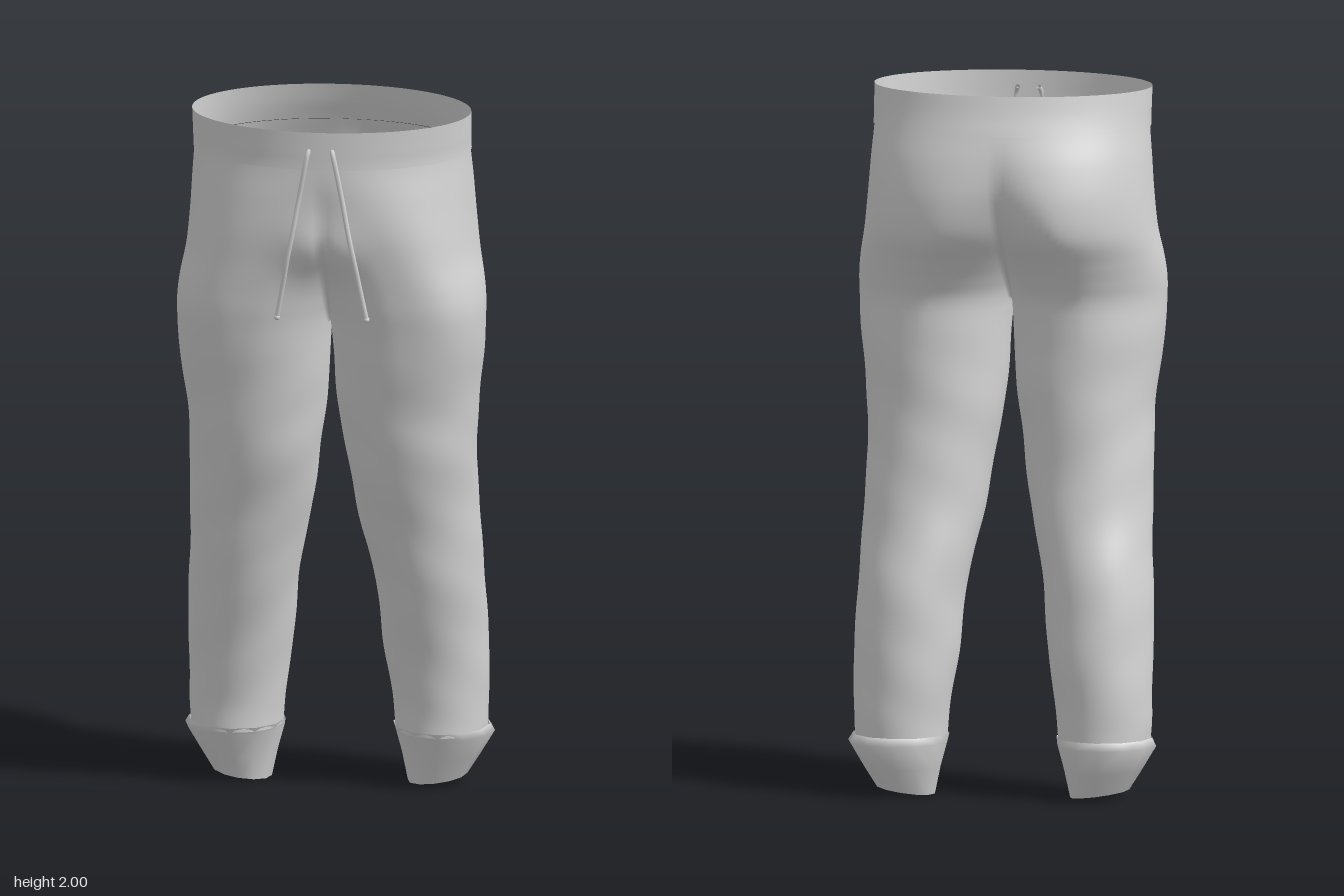
import * as THREE from 'three';
import { mergeVertices } from 'three/addons/utils/BufferGeometryUtils.js';

// Cross-sections of the left half: [y, inner x, outer x, front z, back z].
// A negative inner x means the section is cut open at the centre plane.
const BODY = [
  [2, -0.39, 0.392, 0.314, -0.23],
  [1.945, -0.388, 0.391, 0.312, -0.245],
  [1.89, -0.37, 0.391, 0.31, -0.264],
  [1.8, -0.255, 0.398, 0.308, -0.288],
  [1.7, -0.155, 0.405, 0.302, -0.3],
  [1.6, -0.085, 0.415, 0.289, -0.286],
  [1.52, -0.045, 0.43, 0.279, -0.235],
  [1.46, -0.02, 0.437, 0.272, -0.2],
  [1.4, -0.003, 0.437, 0.262, -0.178],
  [1.3, 0.006, 0.432, 0.245, -0.178],
  [1.15, 0.016, 0.413, 0.215, -0.182],
  [1.0, 0.037, 0.408, 0.187, -0.19],
  [0.8, 0.07, 0.41, 0.132, -0.22],
  [0.6, 0.11, 0.42, 0.084, -0.267],
  [0.4, 0.13, 0.425, 0.03, -0.285],
  [0.25, 0.152, 0.425, 0.003, -0.286],
  [0.16, 0.16, 0.42, 0, -0.285],
];
const CUFF = [
  [0.172, 0.153, 0.427, 0.006, -0.291],
  [0.15, 0.157, 0.44, -0.003, -0.308],
  [0.08, 0.176, 0.398, -0.035, -0.275],
  [0.012, 0.193, 0.362, -0.062, -0.24],
];

// Smoothly resample the rows of a section table
function resample(rows, steps) {
  const count = (rows.length - 1) * steps;
  const curves = [1, 2, 3, 4].map(
    (k) => new THREE.SplineCurve(rows.map((r) => new THREE.Vector2(r[0], r[k]))));
  return Array.from({ length: count + 1 }, (_, i) => {
    const pts = curves.map((c) => c.getPoint(i / count));
    return [pts[0].x, ...pts.map((p) => p.y)];
  });
}

// Loft the sections for the chosen sides; shape(p, angle, side, cx, cz) adjusts each point
function loft(rows, segments, sides, shape) {
  const pos = [];
  const index = [];
  const p = new THREE.Vector3();
  for (const s of sides) {
    const base = pos.length / 3;
    rows.forEach(([y, inner, outer, front, back], r) => {
      const cx = (inner + outer) / 2;
      const rx = (outer - inner) / 2;
      const cz = (front + back) / 2;
      const rz = (front - back) / 2;
      const end = inner < 0 ? Math.acos(THREE.MathUtils.clamp(-cx / rx, -1, 1)) : Math.PI;
      for (let i = 0; i <= segments; i++) {
        const a = end * (2 * i / segments - 1);
        p.set(cx + rx * Math.cos(a), y, cz + rz * Math.sin(a));
        shape(p, a, s, cx, cz);
        pos.push(s * p.x, p.y, p.z);
        if (r < rows.length - 1 && i < segments) {
          const q = base + r * (segments + 1) + i;
          const d = q + segments + 1;
          if (s > 0) index.push(q, q + 1, d, q + 1, d + 1, d);
          else index.push(q, d, q + 1, q + 1, d, d + 1);
        }
      }
    });
  }
  let geo = new THREE.BufferGeometry();
  geo.setAttribute('position', new THREE.Float32BufferAttribute(pos, 3));
  geo.setIndex(index);
  geo = mergeVertices(geo, 1e-4);
  geo.computeVertexNormals();
  return geo;
}

// Thighs full in front and flatter behind, a rounded fly and soft folds down the legs
function drape(p, a, s, cx, cz) {
  if (Math.cos(a) > 0) {
    const power = -0.24 * Math.sin(a) * Math.exp(-(((p.y - 1.5) / 0.24) ** 2));
    const fuller = (v) => Math.max(Math.abs(v), 1e-3) ** power;
    p.x = cx + (p.x - cx) * fuller(Math.cos(a));
    p.z = cz + (p.z - cz) * fuller(Math.sin(a));
  }
  if (p.z > 0) {
    p.z += 0.042 * Math.exp(-((p.x / 0.085) ** 2) - ((p.y - 1.64) / 0.09) ** 2);
  }
  const amount = THREE.MathUtils.smoothstep(1.45 - p.y, 0, 0.4)
    * THREE.MathUtils.smoothstep(p.y, 0.16, 0.25);
  const fold = 1 + 0.009 * amount
    * (Math.sin(p.y * 17 + 2 * a + s) + 0.6 * Math.sin(p.y * 31 - 3 * a - 2 * s));
  p.x = cx + (p.x - cx) * fold;
  p.z = cz + (p.z - cz) * fold;
}

export function createModel() {
  const group = new THREE.Group();
  const fabric = new THREE.MeshStandardMaterial({ color: 0xd4d4d4, side: THREE.DoubleSide });
  fabric.name = 'greyFabric';
  const add = (name, geo) => {
    const mesh = new THREE.Mesh(geo, fabric);
    mesh.name = name;
    group.add(mesh);
  };

  // The first sections form the waistband, which sits slightly proud of the body
  const rows = resample(BODY, 6);
  add('waistband', loft(rows.slice(0, 13), 48, [1, -1], (p) => {
    p.x *= 1.008;
    p.z *= 1.008;
  }));
  add('hipsAndLegs', loft(rows.slice(12), 48, [1, -1], drape));

  for (const s of [1, -1]) {
    const side = s > 0 ? 'left' : 'right';

    // Angular ankle cuff with a slightly slanted, open hem
    add(side + 'Cuff', loft(CUFF, 12, [s], (p) => {
      if (p.y < 0.05) p.y += 0.14 * (p.x - 0.278);
    }));

    // Drawstring leaving the waistband and hanging over the front
    const cord = new THREE.CatmullRomCurve3([
      [0.03, 1.955, 0.3], [0.035, 1.94, 0.315], [0.062, 1.8, 0.31], [0.08, 1.7, 0.312],
      [0.094, 1.63, 0.308], [0.11, 1.54, 0.292], [0.127, 1.45, 0.28],
    ].map(([x, y, z]) => new THREE.Vector3(s * x, y, z)));
    add(side + 'Drawstring', new THREE.TubeGeometry(cord, 30, 0.007, 8));
    const tip = new THREE.SphereGeometry(0.009, 10, 8);
    tip.translate(s * 0.127, 1.45, 0.28);
    add(side + 'DrawstringTip', tip);
  }
  return group;
}
